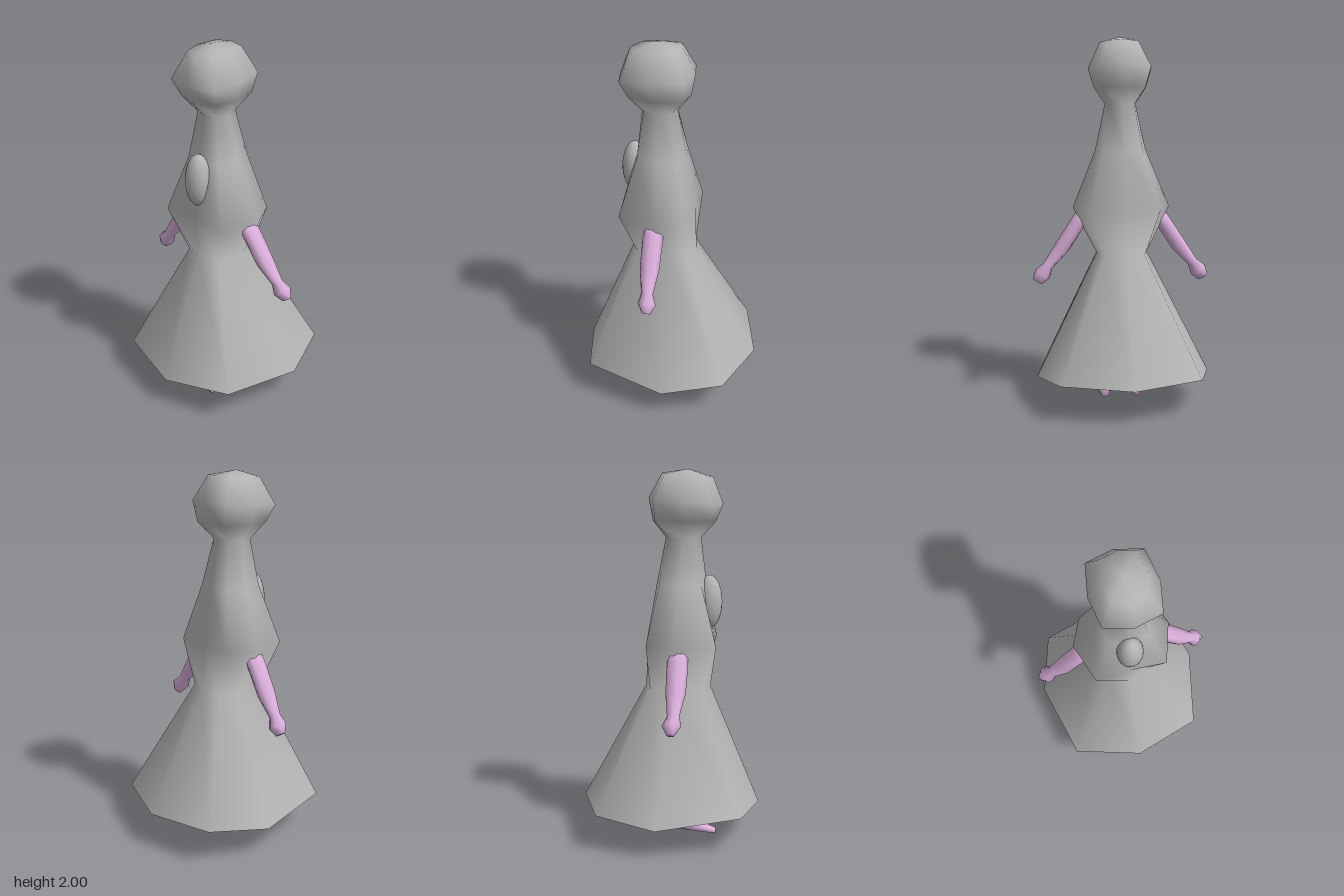
import * as THREE from 'three';

const V = (x, y, z) => new THREE.Vector3(x, y, z);

// Skin a list of closed rings; capStart / capEnd are optional centre points
function loft(rings, capStart, capEnd) {
  const n = rings[0].length;
  const pts = rings.flat();
  const index = [];
  for (let j = 0; j < rings.length - 1; j++) {
    for (let i = 0; i < n; i++) {
      const a = j * n + i, b = j * n + (i + 1) % n;
      index.push(a, b, a + n, b, b + n, a + n);
    }
  }
  const last = (rings.length - 1) * n;
  if (capStart) {
    pts.push(capStart);
    for (let i = 0; i < n; i++) index.push((i + 1) % n, i, pts.length - 1);
  }
  if (capEnd) {
    pts.push(capEnd);
    for (let i = 0; i < n; i++) index.push(last + i, last + (i + 1) % n, pts.length - 1);
  }
  const geo = new THREE.BufferGeometry().setFromPoints(pts);
  geo.setIndex(index);
  geo.computeVertexNormals();
  return geo;
}

// Limb from stations [x, y, z, radiusU, radiusV], elliptical sections in the plane u, v
function limb(stations, u, v) {
  const centres = stations.map(([x, y, z]) => V(x, y, z));
  const rings = stations.map(([, , , ru, rv], k) =>
    Array.from({ length: 8 }, (_, i) => {
      const t = (i / 8) * Math.PI * 2;
      return centres[k].clone().addScaledVector(u, ru * Math.cos(t)).addScaledVector(v, rv * Math.sin(t));
    }));
  return loft(rings, centres[0], centres[centres.length - 1]);
}

// Eight-sided robe section, symmetrical in z: five x positions from back to face
function robeRing({ y, x, zd, zm }) {
  const z = [0, zd, zm, zd, 0];
  const ys = Array.isArray(y) ? y : x.map(() => y);
  const ring = x.map((px, i) => V(px, ys[i], -z[i]));
  for (let i = 3; i > 0; i--) ring.push(V(x[i], ys[i], z[i]));
  return ring;
}

export function createModel() {
  const model = new THREE.Group();
  const cloth = new THREE.MeshStandardMaterial({ color: 0xb4b4b4, side: THREE.DoubleSide });
  cloth.name = 'grey cloth';
  const skin = new THREE.MeshStandardMaterial({ color: 0xdaaeda });
  skin.name = 'pink skin';

  const add = (name, geo, mat) => {
    const mesh = new THREE.Mesh(geo, mat);
    mesh.name = name;
    model.add(mesh);
    return mesh;
  };

  // Hooded robe, open at the hem
  const robe = [
    { y: [0.19, 0.2, 0.16, 0.2, 0.165], x: [0.49, 0.38, 0.06, -0.385, -0.49], zd: 0.373, zm: 0.477 },
    { y: 0.83, x: [0.14, 0.11, 0, -0.17, -0.215], zd: 0.11, zm: 0.14 },
    { y: 1.08, x: [0.128, 0.125, -0.025, -0.245, -0.235], zd: 0.195, zm: 0.267 },
    { y: 1.39, x: [0.08, 0.06, -0.05, -0.165, -0.19], zd: 0.105, zm: 0.14 },
    { y: 1.64, x: [0.03, 0.01, -0.065, -0.135, -0.16], zd: 0.065, zm: 0.085 },
    { y: 1.73, x: [0.1, 0.08, -0.07, -0.2, -0.24], zd: 0.115, zm: 0.145 },
    { y: [1.85, 1.84, 1.83, 1.82, 1.82], x: [0.122, 0.09, -0.08, -0.24, -0.275], zd: 0.145, zm: 0.175 },
    { y: [1.98, 1.975, 1.97, 1.965, 1.96], x: [0.05, 0.03, -0.085, -0.18, -0.22], zd: 0.085, zm: 0.11 },
  ];
  add('hoodedRobe', loft(robe.map(robeRing), null, V(-0.09, 2, 0)), cloth);

  // Oval ornament on the chest
  const oval = add('chestOval', new THREE.SphereGeometry(1, 20, 14), cloth);
  oval.scale.set(0.07, 0.145, 0.07);
  oval.position.set(-0.205, 1.295, 0);

  for (const s of [1, -1]) {
    const side = s > 0 ? 'near' : 'far';

    // Arm with flared hand, sloping outward
    add(side + 'Arm', limb([
      [-0.045, 1.06, 0.19 * s, 0.05, 0.045],
      [-0.045, 0.99, 0.24 * s, 0.056, 0.042],
      [-0.04, 0.86, 0.325 * s, 0.053, 0.042],
      [-0.032, 0.76, 0.405 * s, 0.032, 0.028],
      [-0.025, 0.715, 0.436 * s, 0.05, 0.046],
      [-0.022, 0.675, 0.465 * s, 0.022, 0.03],
    ], V(1, 0, 0), V(0, 0.55 * s, 0.835)), skin);

    // Leg and pointed foot
    const z = s > 0 ? 0.105 : -0.07;
    add(side + 'Leg', limb([
      [-0.02, 0.8, z * 0.7, 0.08, 0.055],
      [-0.02, 0.5, z, 0.085, 0.065],
      [-0.01, 0.24, z, 0.065, 0.04],
      [0, 0.15, z, 0.062, 0.03],
      [0.01, 0.07, z, 0.055, 0.03],
    ], V(1, 0, 0), V(0, 0, 1)), skin);
    add(side + 'Foot', limb([
      [0.076, 0.065, z, 0.026, 0.036],
      [0.03, 0.085, z, 0.036, 0.062],
      [-0.07, 0.07, z, 0.037, 0.055],
      [-0.13, 0.045, z, 0.04, 0.036],
      [-0.25, 0.012, z, 0.032, 0.012],
    ], V(0, 0, 1), V(0, 1, 0)), skin);
  }
  return model;
}
